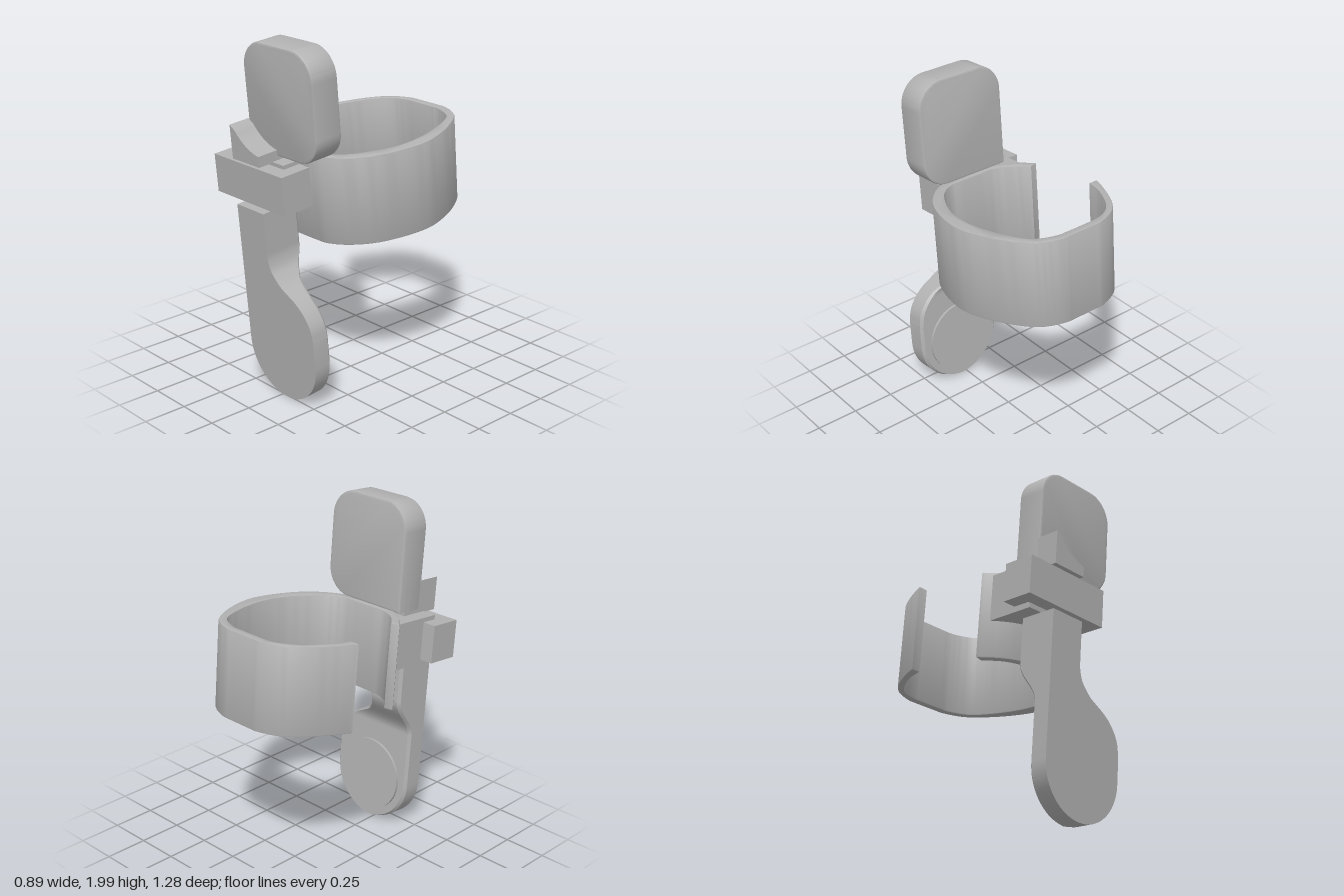
import * as THREE from 'three';
import { toCreasedNormals } from 'three/addons/utils/BufferGeometryUtils.js';

const grey = new THREE.MeshStandardMaterial({ color: 0xb2b2b2 });
grey.name = 'grey plastic';

const smooth = (pts, n) =>
  new THREE.CatmullRomCurve3(pts.map(([x, y]) => new THREE.Vector3(x, y, 0)), false, 'centripetal')
    .getPoints(n).map((p) => new THREE.Vector2(p.x, p.y));

// Extrude a shape from z0 to z1 with a small inset bevel
function slab(shape, z0, z1, bevel = 0) {
  const g = new THREE.ExtrudeGeometry(shape, {
    depth: z1 - z0 - 2 * bevel, bevelEnabled: bevel > 0, bevelSize: bevel, bevelOffset: -bevel,
    bevelThickness: bevel, bevelSegments: 2, curveSegments: 12,
  });
  return g.translate(0, 0, z0 + bevel);
}

// Extrude an (x, z) plan upward from y0 to y1
const upright = (shape, y0, y1, bevel) => slab(shape, -y1, -y0, bevel).rotateX(Math.PI / 2);

// Handle: stacked sections whose right edge and back face change with height
function handleGeometry() {
  const cx = 0.033, cy = 0.325, r = 0.272, front = 0.507, edge = [];
  for (let i = 0; i <= 20; i++) {
    const a = THREE.MathUtils.degToRad(-88 + i * 4.4);
    edge.push(new THREE.Vector2(cx + r * Math.cos(a), cy + r * Math.sin(a)));
  }
  edge.push(...smooth([[0.305, 0.47], [0.29, 0.55], [0.247, 0.62], [0.19, 0.67], [0.125, 0.705],
    [0.07, 0.735], [0.032, 0.77], [0, 0.81], [-0.018, 0.87], [-0.02, 0.93], [-0.02, 1.134]], 50));
  const pos = [], idx = [], n = 6;
  edge.forEach(({ x, y }, j) => {
    const left = y < cy ? 2 * cx - x : cx - r;
    const back = 0.392 - 0.122 * THREE.MathUtils.smoothstep(y, 0.65, 0.88);
    const b = Math.min(0.016, (x - left) / 3);
    pos.push(left, y, front, x, y, front, x, y, back + b, x - b, y, back, left + b, y, back, left, y, back + b);
    if (j === 0) return;
    for (let k = 0; k < n; k++) {
      const a = (j - 1) * n + k, c = (j - 1) * n + (k + 1) % n;
      idx.push(a, c, c + n, a, c + n, a + n);
    }
  });
  const top = (edge.length - 1) * n;
  for (let k = 1; k < n - 1; k++) idx.push(top, top + k, top + k + 1, 0, k + 1, k);
  const g = new THREE.BufferGeometry();
  g.setAttribute('position', new THREE.Float32BufferAttribute(pos, 3));
  g.setIndex(idx);
  return g;
}

export function createModel() {
  const model = new THREE.Group();
  model.name = 'wristClip';
  const add = (name, geometry) => {
    const mesh = new THREE.Mesh(toCreasedNormals(geometry, 0.5), grey);
    mesh.name = name;
    model.add(mesh);
  };

  // Open cuff, thicker on its closed side
  const outer = smooth([[-0.36, 0.075], [-0.31, 0.135], [-0.24, 0.195], [-0.14, 0.244], [-0.1, 0.246],
    [0.1, 0.246], [0.16, 0.24], [0.258, 0.19], [0.36, 0.077], [0.42, -0.074], [0.444, -0.22],
    [0.437, -0.31], [0.376, -0.49], [0.275, -0.65], [0.2, -0.7], [0.12, -0.725], [0.08, -0.726],
    [-0.08, -0.726], [-0.125, -0.724], [-0.25, -0.67], [-0.335, -0.575], [-0.415, -0.42], [-0.447, -0.335]], 110);
  const inner = smooth([[-0.393, -0.335], [-0.36, -0.45], [-0.27, -0.6], [-0.2, -0.655], [-0.12, -0.676],
    [-0.08, -0.677], [0.08, -0.677], [0.12, -0.675], [0.2, -0.645], [0.258, -0.6], [0.332, -0.43],
    [0.366, -0.25], [0.353, -0.09], [0.275, 0.08], [0.22, 0.145], [0.15, 0.183], [0.1, 0.187],
    [-0.1, 0.187], [-0.15, 0.183], [-0.23, 0.145], [-0.312, 0.06]], 110);
  add('cuff', upright(new THREE.Shape([...outer, ...inner]), 0.923, 1.42, 0.008));

  // Mounting block fused to the cuff
  const block = new THREE.Shape([[-0.322, 0.414], [-0.322, 0.11], [-0.24, 0.18], [-0.14, 0.22],
    [0.068, 0.22], [0.068, 0.414]].map(([x, z]) => new THREE.Vector2(x, z)));
  add('mountingBlock', upright(block, 1.135, 1.4, 0));

  // Channel-shaped clamp gripping the block
  const clamp = new THREE.Shape([[-0.411, 0.497], [-0.411, 0.31], [-0.331, 0.31], [-0.331, 0.41],
    [0.07, 0.41], [0.07, 0.31], [0.15, 0.31], [0.15, 0.497]].map(([x, z]) => new THREE.Vector2(x, z)));
  add('clamp', upright(clamp, 1.162, 1.379, 0));

  // Upper pad: three rounded corners, one square corner over the hook
  const x0 = -0.239, x1 = 0.305, y0 = 1.42, y1 = 2.025, r = 0.155;
  const pad = new THREE.Shape();
  pad.moveTo(x0, y0);
  pad.lineTo(x1 - r, y0);
  pad.absarc(x1 - r, y0 + r, r, -Math.PI / 2, 0);
  pad.absarc(x1 - r, y1 - r, r, 0, Math.PI / 2);
  pad.absarc(x0 + r, y1 - r, r, Math.PI / 2, Math.PI);
  add('upperPad', slab(pad, 0.205, 0.377, 0.012));

  // Hook in front of the pad with a concave top
  const hook = new THREE.Shape();
  hook.moveTo(-0.239, 1.395);
  hook.lineTo(-0.02, 1.395);
  hook.lineTo(-0.02, 1.455);
  hook.quadraticCurveTo(-0.13, 1.475, -0.2, 1.56);
  hook.lineTo(-0.239, 1.585);
  add('hook', slab(hook, 0.25, 0.504));

  // Lower handle and the disc on its back
  add('handle', handleGeometry());
  const disc = new THREE.CylinderGeometry(0.215, 0.215, 0.03, 48).rotateX(Math.PI / 2);
  add('backDisc', disc.translate(0.033, 0.322, 0.392));

  // Whole assembly leans slightly forward
  model.rotation.x = THREE.MathUtils.degToRad(5);
  const root = new THREE.Group();
  root.add(model);
  return root;
}
